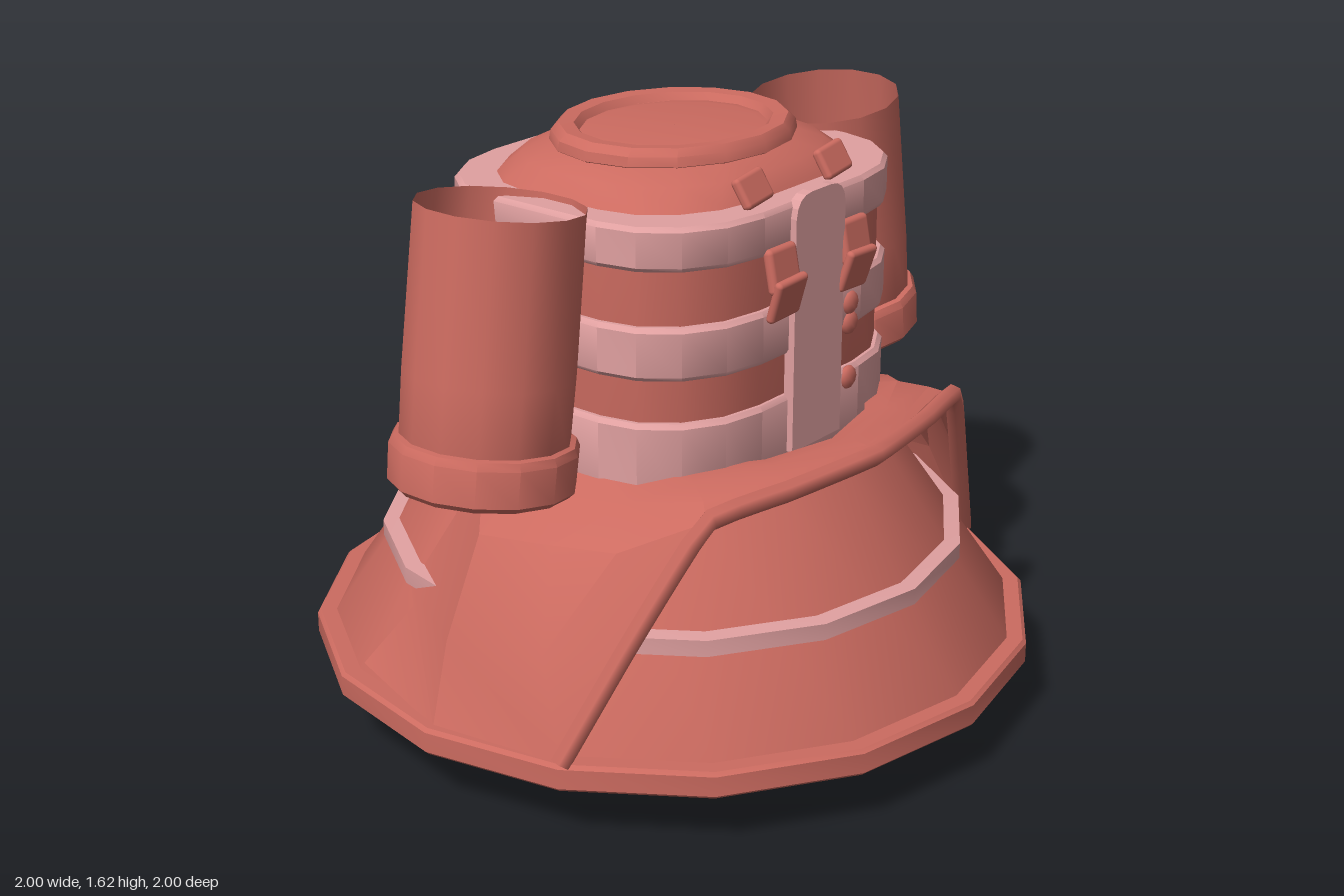
import * as THREE from 'three';
import { toCreasedNormals } from 'three/addons/utils/BufferGeometryUtils.js';
import { RoundedBoxGeometry } from 'three/addons/geometries/RoundedBoxGeometry.js';

const red = new THREE.MeshStandardMaterial({ color: 0xcc6b60, side: THREE.DoubleSide });
const pink = new THREE.MeshStandardMaterial({ color: 0xe0a0a0, side: THREE.DoubleSide });

function add(parent, name, geometry, material, x = 0, y = 0, z = 0) {
  const mesh = new THREE.Mesh(geometry, material);
  mesh.name = name;
  mesh.position.set(x, y, z);
  parent.add(mesh);
  return mesh;
}

// Skin rows of points, listed bottom to top, each running from front towards +x
function skin(rows, crease = 0.7) {
  const n = rows[0].length;
  const index = [];
  for (let i = 0; i < rows.length - 1; i++) {
    for (let j = 0; j < n - 1; j++) {
      const a = i * n + j;
      index.push(a, a + 1, a + n, a + 1, a + n + 1, a + n);
    }
  }
  const g = new THREE.BufferGeometry();
  g.setAttribute('position', new THREE.Float32BufferAttribute(rows.flat(2), 3));
  g.setIndex(index);
  return toCreasedNormals(g, crease);
}

// Rounded rectangle ring; k = 1 makes an ellipse
function ring(y, w, d, k = 0.6) {
  const pts = [];
  for (let q = 0; q < 4; q++) {
    for (let s = 0; s <= 4; s++) {
      const a = (q + s / 4) * Math.PI / 2;
      const sx = q < 2 ? 1 : -1;
      const sz = q === 0 || q === 3 ? 1 : -1;
      pts.push([sx * w * (1 - k) + Math.sin(a) * w * k, y, sz * d * (1 - k) + Math.cos(a) * d * k]);
    }
  }
  pts.push(pts[0]);
  return pts;
}

const loft = (...rings) => skin(rings.map((r) => ring(...r)));

function lathe(points, sides, crease = 0.6) {
  const g = new THREE.LatheGeometry(points.map((p) => new THREE.Vector2(...p)), sides);
  return toCreasedNormals(g, crease);
}

function makeSkirt() {
  const skirt = new THREE.Group();
  skirt.name = 'skirt';
  add(skirt, 'skirtCone', lathe([[0.96, 0.18], [0.95, 0.23], [0.58, 0.77], [0.54, 0.77]], 16), red);
  add(skirt, 'hem', lathe([[0.95, 0.16], [0.99, 0.16], [1, 0.17], [1, 0.225], [0.99, 0.235], [0.94, 0.235], [0.95, 0.16]], 16), red);
  add(skirt, 'stripe', lathe([[0.76, 0.455], [0.806, 0.455], [0.806, 0.5], [0.755, 0.505], [0.76, 0.455]], 16), pink);
  return skirt;
}

// Overcoat: columns from front centre round to the back, each bottom to top
function makeCoat() {
  const half = [
    [[0, 0.84, 0.67], [0, 0.86, 0.64], [0, 0.865, 0.59], [0, 0.85, 0.53]],
    [[0.3, 0.83, 0.62], [0.27, 0.85, 0.58], [0.25, 0.86, 0.53], [0.22, 0.85, 0.48]],
    [[0.55, 0.81, 0.55], [0.5, 0.835, 0.5], [0.45, 0.85, 0.43], [0.38, 0.85, 0.37]],
    [[0.74, 0.52, 0.46], [0.68, 0.72, 0.37], [0.58, 0.8, 0.31], [0.45, 0.84, 0.27]],
    [[0.91, 0.235, 0.38], [0.86, 0.48, 0.28], [0.73, 0.71, 0.2], [0.51, 0.83, 0.17]],
    [[0.97, 0.23, 0], [0.91, 0.45, 0], [0.78, 0.7, 0], [0.54, 0.81, 0]],
    [[0.865, 0.25, -0.358], [0.735, 0.45, -0.304], [0.604, 0.65, -0.25], [0.527, 0.77, -0.218]],
  ];
  const mirror = ([x, y, z]) => [-x, y, z];
  const columns = [...half.slice(1).reverse().map((c) => c.map(mirror)), ...half];
  const coat = new THREE.Group();
  coat.name = 'overcoat';
  const rows = [0, 1, 2, 3].map((i) => columns.map((c) => c[i]));
  add(coat, 'coatDrape', skin(rows, 0.5), red);

  // Thick trim along the open front edge
  const edge = columns.slice(2, -2).map((c) => new THREE.Vector3(...c[0]));
  const path = new THREE.CatmullRomCurve3(edge, false, 'catmullrom', 0.15);
  add(coat, 'coatTrim', new THREE.TubeGeometry(path, 32, 0.028, 6), red);
  return coat;
}

function makeTorso() {
  const torso = new THREE.Group();
  torso.name = 'torso';
  add(torso, 'tunic', loft([0.78, 0.001, 0.001], [0.78, 0.5, 0.43], [0.85, 0.51, 0.445], [1.45, 0.51, 0.44]), red);
  for (const [low, high] of [[0.77, 0.985], [1.1, 1.24], [1.385, 1.5]]) {
    add(torso, 'band', loft(
      [low, 0.49, 0.42], [low, 0.52, 0.455], [low + 0.012, 0.53, 0.462],
      [high - 0.012, 0.53, 0.462], [high, 0.52, 0.452], [high, 0.43, 0.37]), pink);
  }
  add(torso, 'shoulders', loft(
    [1.48, 0.46, 0.39, 0.65], [1.51, 0.44, 0.375, 0.7], [1.55, 0.4, 0.345, 0.8],
    [1.585, 0.33, 0.28, 1], [1.6, 0.25, 0.22, 1], [1.6, 0.001, 0.001, 1]), red);
  add(torso, 'collar', loft(
    [1.565, 0.33, 0.28, 1], [1.58, 0.355, 0.305, 1], [1.605, 0.35, 0.3, 1],
    [1.623, 0.325, 0.285, 1], [1.62, 0.285, 0.245, 1], [1.6, 0.27, 0.23, 1]), red);

  // Front placket with a rounded top
  const shape = new THREE.Shape();
  shape.moveTo(-0.105, 0.83);
  shape.lineTo(0.105, 0.83);
  shape.lineTo(0.105, 1.46);
  shape.quadraticCurveTo(0.1, 1.52, 0.04, 1.52);
  shape.lineTo(-0.04, 1.52);
  shape.quadraticCurveTo(-0.1, 1.52, -0.105, 1.46);
  const placket = new THREE.ExtrudeGeometry(shape, { depth: 0.03, bevelEnabled: false, curveSegments: 4 });
  add(torso, 'placket', placket, pink, 0, 0, 0.45);

  // Clasps beside the placket, with their upper straps
  for (const side of [-1, 1]) {
    const clasp = new THREE.Group();
    clasp.name = 'clasp';
    add(clasp, 'claspPlate', new RoundedBoxGeometry(0.115, 0.12, 0.03, 2, 0.014), red, side * 0.155, 1.345, 0.475).rotation.x = -0.2;
    add(clasp, 'claspTongue', new RoundedBoxGeometry(0.12, 0.12, 0.025, 2, 0.012), red, side * 0.15, 1.27, 0.488).rotation.set(0.3, 0, -side * 0.05);
    const strap = add(clasp, 'claspStrap', new RoundedBoxGeometry(0.115, 0.085, 0.028, 2, 0.012), red, side * 0.17, 1.54, 0.39);
    strap.rotation.set(-0.5, 0, 0.12);
    torso.add(clasp);
  }
  for (const y of [1.165, 1.11, 0.955]) {
    const button = new THREE.SphereGeometry(0.033, 10, 6);
    add(torso, 'button', button, red, 0.165, y, 0.46).scale.z = 0.5;
  }
  return torso;
}

// Open sleeve with a thick cuff, leaning away from the body
function makeSleeve(side) {
  const sleeve = new THREE.Group();
  sleeve.name = side > 0 ? 'leftSleeve' : 'rightSleeve';
  add(sleeve, 'sleeveTube', lathe([[0.19, 0.02], [0.217, 0.1], [0.22, 0.3], [0.215, 0.72]], 14), red);
  add(sleeve, 'cuff', lathe([
    [0.19, 0.03], [0.195, 0.005], [0.225, 0], [0.24, 0.015], [0.242, 0.11], [0.232, 0.13], [0.212, 0.135]], 14), red);
  sleeve.position.set(side * 0.763, 0.83, 0);
  sleeve.rotation.z = side * 0.134;
  return sleeve;
}

// Half-pipe trouser leg, open at the back
function makeLeg(side) {
  const shape = new THREE.Shape();
  shape.moveTo(0.295, 0.1);
  shape.lineTo(0.295, -0.08);
  shape.absellipse(0, -0.08, 0.295, 0.24, 0, Math.PI, true);
  shape.lineTo(-0.295, 0.1);
  shape.lineTo(-0.245, 0.1);
  shape.lineTo(-0.245, -0.08);
  shape.absellipse(0, -0.08, 0.245, 0.19, Math.PI, 0, false);
  shape.lineTo(0.245, 0.1);
  const g = new THREE.ExtrudeGeometry(shape, { depth: 0.74, bevelEnabled: false, curveSegments: 8 });
  g.rotateX(-Math.PI / 2);
  const leg = new THREE.Group();
  leg.name = side > 0 ? 'leftLeg' : 'rightLeg';
  add(leg, 'legShell', toCreasedNormals(g, 0.6), red, side * 0.296, 0, 0);
  return leg;
}

export function createModel() {
  const model = new THREE.Group();
  model.name = 'robe';
  model.add(makeSkirt(), makeCoat(), makeTorso());
  for (const side of [-1, 1]) model.add(makeSleeve(side), makeLeg(side));
  return model;
}
